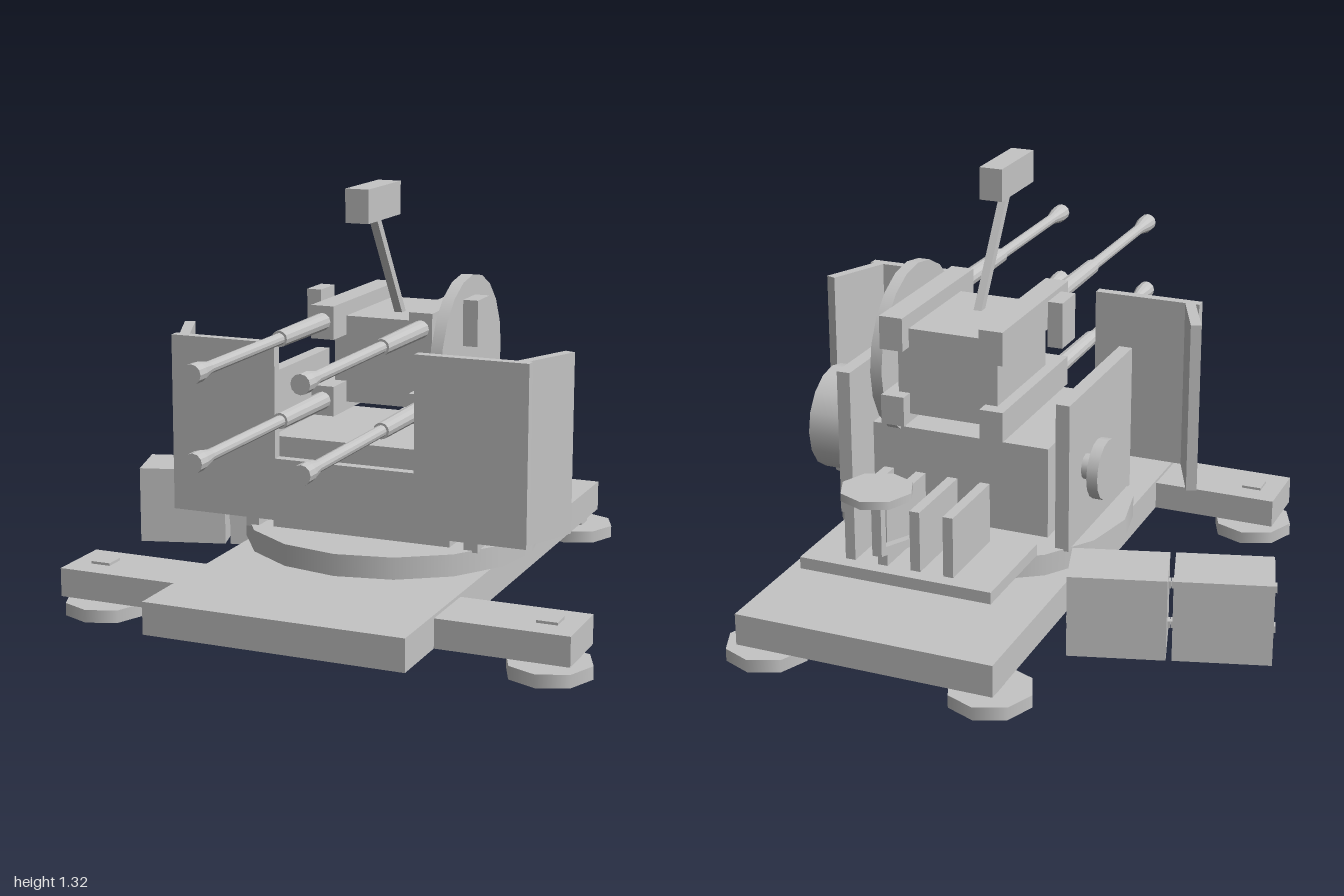
import * as THREE from 'three';

const CX = 0.1; // centre line of the gun carriage

export function createModel() {
  const root = new THREE.Group();
  root.name = 'antiAircraftGun';
  const grey = new THREE.MeshStandardMaterial({ color: 0xc4c4c4 });
  grey.name = 'plainGrey';

  const add = (name, geometry, parent = root) => {
    const mesh = new THREE.Mesh(geometry, grey);
    mesh.name = name;
    parent.add(mesh);
    return mesh;
  };
  // box given by its limits on each axis
  const box = (name, x0, x1, y0, y1, z0, z1, parent) => {
    const g = new THREE.BoxGeometry(x1 - x0, y1 - y0, z1 - z0);
    g.translate((x0 + x1) / 2, (y0 + y1) / 2, (z0 + z1) / 2);
    return add(name, g, parent);
  };
  // upright disc
  const disc = (name, r, y0, y1, x, z, sides) => {
    const m = add(name, new THREE.CylinderGeometry(r, r, y1 - y0, sides));
    m.position.set(x, (y0 + y1) / 2, z);
    return m;
  };
  // disc with its axle along x
  const wheel = (name, r, x0, x1, y, z, sides) => {
    const m = add(name, new THREE.CylinderGeometry(r, r, x1 - x0, sides));
    m.rotation.z = Math.PI / 2;
    m.position.set((x0 + x1) / 2, y, z);
    return m;
  };
  // square bar between two points in the centre plane
  const bar = (name, y0, z0, y1, z1, t) => {
    const m = add(name, new THREE.BoxGeometry(t, t, Math.hypot(y1 - y0, z1 - z0)));
    m.position.set(CX, (y0 + y1) / 2, (z0 + z1) / 2);
    m.rotation.x = -Math.atan2(y1 - y0, z1 - z0);
    return m;
  };

  // Platform and outriggers
  box('deck', -0.31, 0.51, 0.067, 0.167, -0.97, 0.86);
  box('leftOutrigger', 0.51, 0.915, 0.067, 0.157, 0.425, 0.64);
  box('rightOutrigger', -0.715, -0.31, 0.067, 0.157, 0.425, 0.64);
  for (const [dx, z] of [[0.72, 0.53], [0.36, -0.87]]) {
    for (const s of [-1, 1]) {
      const x = CX + s * dx;
      disc('footPad', 0.13, 0, 0.04, x, z, 8);
      box('footStem', x - 0.032, x + 0.032, 0.03, 0.165, z - 0.032, z + 0.032);
    }
  }

  // Turntable and carriage
  disc('turntable', 0.47, 0.167, 0.236, CX, -0.055, 16);
  box('carriageBody', -0.195, 0.395, 0.23, 0.53, -0.27, 0.215);
  for (const s of [-1, 1]) {
    const x = CX + s * 0.365;
    box('sidePlate', x - 0.022, x + 0.022, 0.23, 0.706, -0.33, 0.22);
  }
  wheel('sideDrum', 0.168, 0.485, 0.61, 0.47, -0.13, 16);
  wheel('smallSideDisc', 0.095, -0.36, -0.325, 0.46, -0.19, 16);
  wheel('smallDiscHub', 0.04, -0.33, -0.28, 0.46, -0.19, 12);
  wheel('elevationWheel', 0.272, 0.3, 0.338, 0.748, -0.123, 20);

  // Gun shield with notch and swept wings
  const front = new THREE.Shape([
    [-0.48, 0.295], [0.68, 0.295], [0.68, 0.85], [0.325, 0.85],
    [0.325, 0.49], [-0.13, 0.49], [-0.13, 0.85], [-0.48, 0.85],
  ].map(([x, y]) => new THREE.Vector2(x, y)));
  const frontGeo = new THREE.ExtrudeGeometry(front, { depth: 0.033, bevelEnabled: false });
  add('shieldFront', frontGeo.translate(0, 0, 0.303));
  for (const s of [-1, 1]) {
    const wing = new THREE.Shape([[0.648, 0.118], [0.616, 0.107], [0.533, 0.303], [0.568, 0.303]]
      .map(([x, z]) => new THREE.Vector2(CX + s * x, -z)));
    const g = new THREE.ExtrudeGeometry(wing, { depth: 0.555, bevelEnabled: false });
    add('shieldWing', g.rotateX(-Math.PI / 2).translate(0, 0.295, 0));
  }

  // Four guns on the cradle
  box('gunCradle', -0.065, 0.262, 0.615, 0.89, -0.355, 0.03);
  const barrelProfile = [[0, 0.1], [0.028, 0.1], [0.025, 0.44], [0.018, 0.44],
    [0.018, 0.9], [0.029, 0.96], [0.029, 1], [0, 1]].map(([r, z]) => new THREE.Vector2(r, z));
  for (const s of [-1, 1]) {
    const x = CX + s * 0.163;
    for (const [y, y0, y1] of [[0.885, 0.83, 0.935], [0.636, 0.588, 0.682]]) {
      box('gunReceiver', x - 0.038, x + 0.038, y0, y1, -0.4, 0.13);
      const barrel = add('gunBarrel', new THREE.LatheGeometry(barrelProfile, 12).toNonIndexed());
      barrel.geometry.computeVertexNormals();
      barrel.rotation.x = Math.PI / 2;
      barrel.position.set(x, y, 0);
    }
    const bx = CX + s * 0.264;
    box('trunnionBlock', bx - 0.024, bx + 0.024, 0.81, 0.955, -0.14, -0.033);
  }

  // Sight on its stalk
  bar('sightStalk', 0.88, -0.115, 1.23, 0.112, 0.026);
  box('sightBox', 0.063, 0.138, 1.212, 1.315, -0.015, 0.24);

  // Rear tray with upright magazines
  box('rearTray', -0.213, 0.405, 0.238, 0.275, -0.755, -0.4);
  for (let i = 0; i < 4; i++) {
    const x = CX + (i - 1.5) * 0.106;
    box('magazine', x - 0.016, x + 0.016, 0.27, 0.465, -0.71, -0.44);
  }

  // Gunner's seat
  bar('seatArm', 0.245, -0.32, 0.387, -0.845, 0.026);
  box('seatPost', CX - 0.015, CX + 0.015, 0.375, 0.57, -0.85, -0.82);
  disc('seat', 0.108, 0.563, 0.587, CX, -0.84, 8);

  // Ammunition chests standing beside the platform
  for (const [x, z] of [[-0.48, -0.41], [-0.78, -0.32]]) {
    const chest = new THREE.Group();
    chest.name = 'ammoChest';
    box('chestBody', -0.148, 0.148, 0, 0.26, -0.1, 0.1, chest);
    for (const s of [-1, 1]) {
      for (const y of [0.075, 0.207]) {
        box('chestLatch', s * 0.15 - 0.006, s * 0.15 + 0.006, y - 0.011, y + 0.011, -0.014, 0.014, chest);
      }
    }
    chest.position.set(x, 0, z);
    chest.rotation.y = 0.287;
    root.add(chest);
  }
  return root;
}
